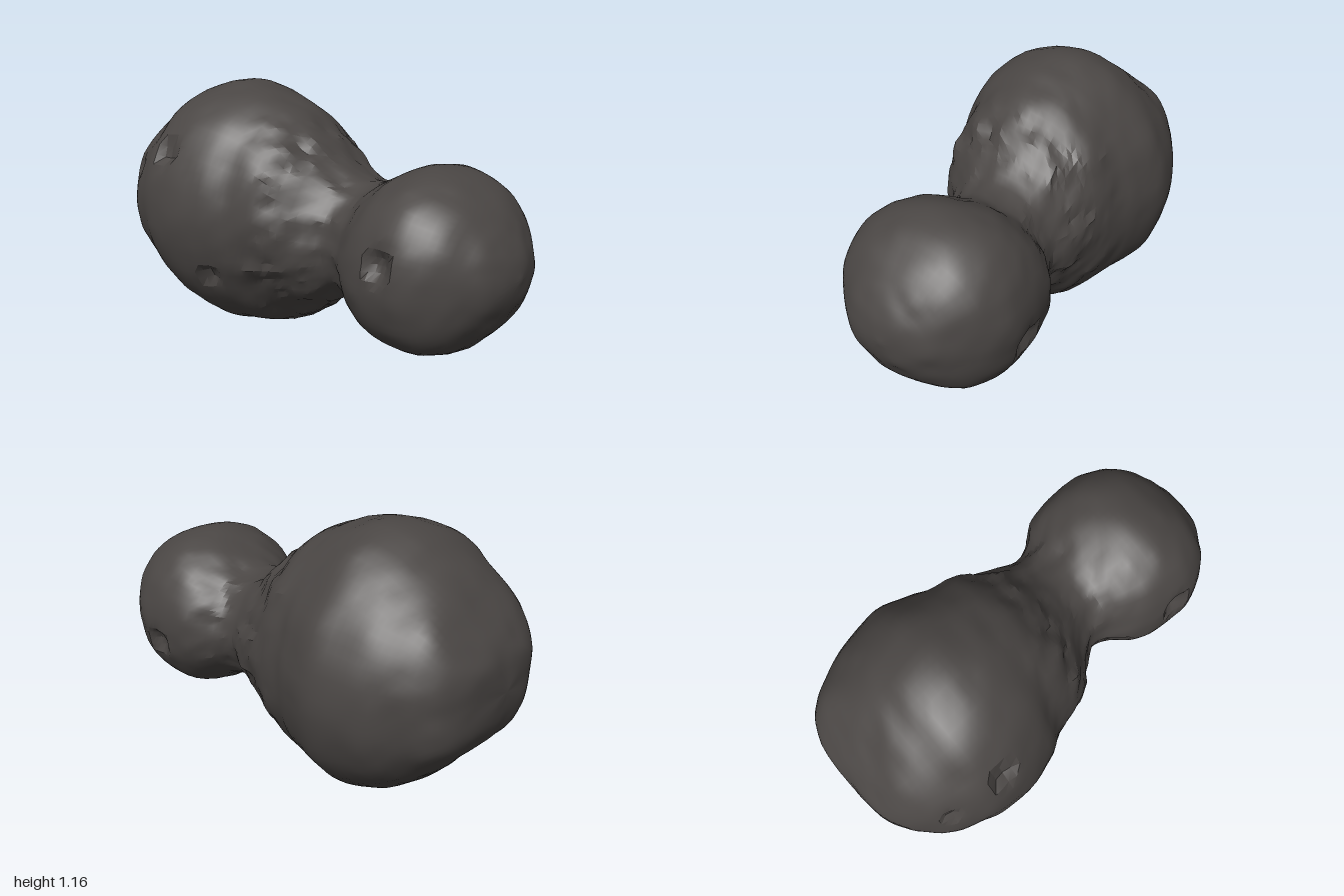
import * as THREE from 'three';
import { toCreasedNormals } from 'three/addons/utils/BufferGeometryUtils.js';

// Cross-sections along the long axis: x, top, bottom, back, front
const SECTIONS = [
  [-1, 0.6, 0.6, 0.02, 0.02], [-0.985, 0.73, 0.48, -0.16, 0.19], [-0.945, 0.81, 0.38, -0.3, 0.285],
  [-0.88, 0.89, 0.31, -0.37, 0.355], [-0.8, 0.99, 0.21, -0.42, 0.43], [-0.7, 1.07, 0.11, -0.48, 0.48],
  [-0.6, 1.14, 0.05, -0.51, 0.52], [-0.45, 1.175, 0.003, -0.53, 0.525], [-0.3, 1.15, 0.025, -0.48, 0.49],
  [-0.2, 1.11, 0.03, -0.43, 0.44], [-0.1, 1.06, 0.075, -0.405, 0.42], [0, 0.97, 0.14, -0.375, 0.385],
  [0.1, 0.87, 0.21, -0.345, 0.3], [0.2, 0.815, 0.265, -0.305, 0.23], [0.3, 0.8, 0.275, -0.335, 0.25],
  [0.4, 0.85, 0.23, -0.41, 0.325], [0.5, 0.9, 0.175, -0.425, 0.36], [0.6, 0.925, 0.155, -0.425, 0.37],
  [0.7, 0.905, 0.168, -0.42, 0.37], [0.8, 0.86, 0.215, -0.37, 0.32], [0.9, 0.77, 0.31, -0.28, 0.23],
  [0.95, 0.7, 0.39, -0.21, 0.17], [0.985, 0.63, 0.46, -0.12, 0.08], [1, 0.55, 0.55, -0.02, -0.02],
];

// Small impact pits: x, angle from the top towards the front, radius, depth
const PITS = [
  [0.6, 1.4, 0.08, 0.045], [-0.53, 1.03, 0.075, 0.04], [-0.3, 2.05, 0.065, 0.03],
  [-0.78, 1.15, 0.05, 0.025], [0.6, 4.45, 0.075, 0.04],
];

const SEGMENTS = 72;
const STEPS = 4;
const { smoothstep } = THREE.MathUtils;

function hash(i, j, k) {
  const s = Math.sin(i * 127.1 + j * 311.7 + k * 74.7) * 43758.5453;
  return s - Math.floor(s);
}

// Smooth value noise in the range -1 to 1
function noise(x, y, z) {
  const c = [x, y, z].map(Math.floor);
  const f = [x, y, z].map((v, n) => smoothstep(v - c[n], 0, 1));
  let sum = 0;
  for (let n = 0; n < 8; n++) {
    const d = [n & 1, (n >> 1) & 1, n >> 2];
    const w = d.reduce((p, b, m) => p * (b ? f[m] : 1 - f[m]), 1);
    sum += w * hash(c[0] + d[0], c[1] + d[1], c[2] + d[2]);
  }
  return sum * 2 - 1;
}

// Catmull-Rom blend of one column of the section list
function sample(u, column) {
  const last = SECTIONS.length - 1;
  const i = Math.min(Math.floor(u), last - 1), t = u - i;
  const v = (n) => SECTIONS[Math.min(Math.max(n, 0), last)][column];
  const a = v(i - 1), b = v(i), c = v(i + 1), d = v(i + 2);
  return b + 0.5 * t * (c - a + t * (2 * a - 5 * b + 4 * c - d + t * (3 * (b - c) + d - a)));
}

function surfacePoint(u, angle) {
  const [x, top, bottom, back, front] = [0, 1, 2, 3, 4].map((n) => sample(u, n));
  return new THREE.Vector3(
    x,
    (top + bottom) / 2 + (Math.cos(angle) * (top - bottom)) / 2,
    (back + front) / 2 + (Math.sin(angle) * (front - back)) / 2,
  );
}

// Row position along the body for a given x
function rowAt(x) {
  const i = Math.max(0, SECTIONS.findIndex((s) => s[0] > x) - 1);
  return i + (x - SECTIONS[i][0]) / (SECTIONS[i + 1][0] - SECTIONS[i][0]);
}

// Departures of the cross-sections from plain ellipses
function lobeShape(x, angle) {
  const bump = (at, width) => Math.exp(-(((x - at) / width) ** 2));
  const facing = (a) => Math.max(0, Math.cos(angle - a)) ** 4;
  const square = 0.5 - 0.5 * Math.cos(4 * angle);
  const large = smoothstep(-x, 0.1, 0.35) * (1 - smoothstep(-x, 0.6, 0.85));
  const small = smoothstep(x, 0.35, 0.5) * (1 - smoothstep(x, 0.8, 0.95));
  let push = -0.025 * large * (facing(2.2) + facing(5.4));
  push += 0.016 * small * square + 0.025 * bump(-0.88, 0.1) * square;
  // Shoulder: hollow at the lower front, full at the lower back
  push += bump(-0.05, 0.17) * (0.025 * facing(4) - 0.06 * facing(2.3));
  // Small lobe: full at the lower front beside the neck
  return push + 0.02 * bump(0.38, 0.1) * facing(2.4);
}

// Torn, stepped ridges along the neck, cut in from the outer skin
function neckTear(p) {
  const n = noise(p.x * 6, p.y * 15, p.z * 15) + 0.5 * noise(p.x * 14 + 9, p.y * 24, p.z * 24);
  const stepped = Math.round(n * 2) / 2;
  return 0.03 * (0.3 * n + 0.7 * stepped) - 0.008;
}

function bodyGeometry() {
  const rows = (SECTIONS.length - 1) * STEPS;
  const pits = PITS.map(([x, angle, r, depth]) => ({ at: surfacePoint(rowAt(x), angle), r, depth }));
  const positions = [], index = [];
  for (let i = 0; i <= rows; i++) {
    for (let j = 0; j < SEGMENTS; j++) {
      const angle = (j / SEGMENTS) * Math.PI * 2;
      const p = surfacePoint(i / STEPS, angle);
      const out = new THREE.Vector3(p.x < 0.25 ? p.x + 0.45 : p.x - 0.6, p.y - 0.57, p.z).normalize();
      const neck = Math.exp(-(((p.x - 0.1) / 0.22) ** 2));
      // Gentle lumps, a little stronger on the large lobe
      const lump = p.x < 0.25 ? 0.008 : 0.005;
      let push = lump * noise(p.x * 7, p.y * 7, p.z * 7) + 0.004 * noise(p.x * 15, p.y * 15, p.z * 15);
      push += lobeShape(p.x, angle) + neck * neckTear(p);
      for (const pit of pits) {
        const d = p.distanceTo(pit.at) / pit.r;
        if (d < 1) push -= pit.depth * Math.min(1, 1.6 * (1 - d));
      }
      // Fade at the two end points
      push *= Math.min(1, i / 6, (rows - i) / 6);
      out.x *= 1 - neck;
      p.addScaledVector(out, push);
      positions.push(p.x, Math.max(0, p.y), p.z);
    }
  }
  for (let i = 0; i < rows; i++) {
    for (let j = 0; j < SEGMENTS; j++) {
      const k = (j + 1) % SEGMENTS;
      const a = i * SEGMENTS + j, b = i * SEGMENTS + k;
      const c = a + SEGMENTS, d = b + SEGMENTS;
      if (i > 0) index.push(a, b, c);
      if (i === 0) index.push(a, d, c);
      else if (i < rows - 1) index.push(b, d, c);
    }
  }
  const geometry = new THREE.BufferGeometry();
  geometry.setAttribute('position', new THREE.Float32BufferAttribute(positions, 3));
  geometry.setIndex(index);
  return toCreasedNormals(geometry, 0.4);
}

export function createModel() {
  const group = new THREE.Group();
  group.name = 'twoLobedRock';
  const darkRock = new THREE.MeshStandardMaterial({ color: 0x4a4644 });
  darkRock.name = 'dark rock';

  // Large lobe, neck and small lobe as one continuous skin
  const body = new THREE.Mesh(bodyGeometry(), darkRock);
  body.name = 'rockBody';
  group.add(body);
  return group;
}
